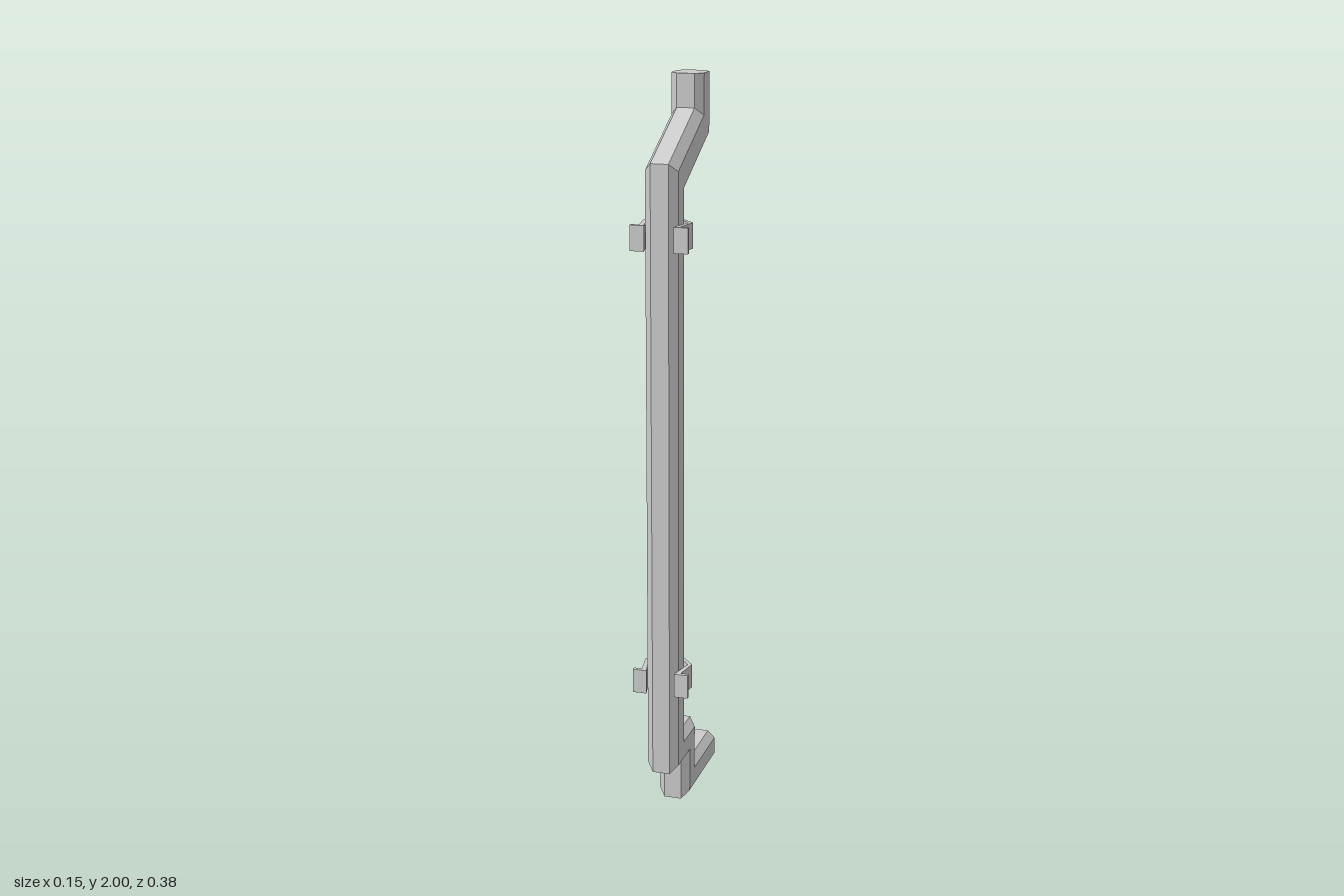
import * as THREE from 'three';

const material = new THREE.MeshStandardMaterial({
  color: 0xcccccc, flatShading: true, side: THREE.DoubleSide,
});

// Chamfered square cross-section: [x, depth]
const R = 0.044, C = 0.024;
const SECTION = [[R, -C], [R, C], [C, R], [-C, R], [-R, C], [-R, -C], [-C, -R], [C, -R]];

// Pipe joints from top to outlet: centre z, y and how section depth maps onto z and y (mitres)
const JOINTS = [
  [-0.086, 2.0, 1, 0],
  [-0.086, 1.868, 1, 1],
  [0.14, 1.755, 1, 1],
  [0.14, 0.17, 1, -1],
  [0.034, 0.17, 1, -1],
  [0.034, 0.044, 1, -1],
  [-0.192, 0.044, 0, -1],
];

function pipeGeometry() {
  const rings = JOINTS.map(([z, y, sz, sy]) =>
    SECTION.map(([x, d]) => [x, y + sy * d, z + sz * d]));
  const n = SECTION.length;
  const pos = [];
  const tri = (...points) => points.forEach((p) => pos.push(...p));
  for (let r = 0; r < rings.length - 1; r++) {
    const a = rings[r], b = rings[r + 1];
    for (let i = 0; i < n; i++) {
      const j = (i + 1) % n;
      tri(a[i], a[j], b[j]);
      tri(a[i], b[j], b[i]);
    }
  }
  // closed top; the outlet stays open
  for (let i = 1; i < n - 1; i++) tri(rings[0][0], rings[0][i + 1], rings[0][i]);
  const geometry = new THREE.BufferGeometry();
  geometry.setAttribute('position', new THREE.Float32BufferAttribute(pos, 3));
  geometry.computeVertexNormals();
  return geometry;
}

// Clip band wrapping the back of the pipe, with flared feet at the front
function clipGeometry(height) {
  const half = [
    [0.03, 0.073], [0.067, 0.113], [0.055, 0.18], [0.077, 0.18], [0.077, 0.191],
    [0.039, 0.191], [0.056, 0.117], [0.026, 0.084],
  ];
  const mirrored = half.map(([x, z]) => [-x, z]).reverse();
  const outline = [...half, ...mirrored].map(([x, z]) => new THREE.Vector2(x, -z));
  const geometry = new THREE.ExtrudeGeometry(new THREE.Shape(outline), {
    depth: height, bevelEnabled: false,
  });
  return geometry.rotateX(-Math.PI / 2);
}

export function createModel() {
  const model = new THREE.Group();
  model.name = 'drainpipe';

  const pipe = new THREE.Mesh(pipeGeometry(), material);
  pipe.name = 'pipe';
  model.add(pipe);

  const clip = clipGeometry(0.067);
  for (const [name, y] of [['lowerClip', 0.361], ['upperClip', 1.576]]) {
    const mesh = new THREE.Mesh(clip, material);
    mesh.name = name;
    mesh.position.y = y;
    model.add(mesh);
  }
  return model;
}
